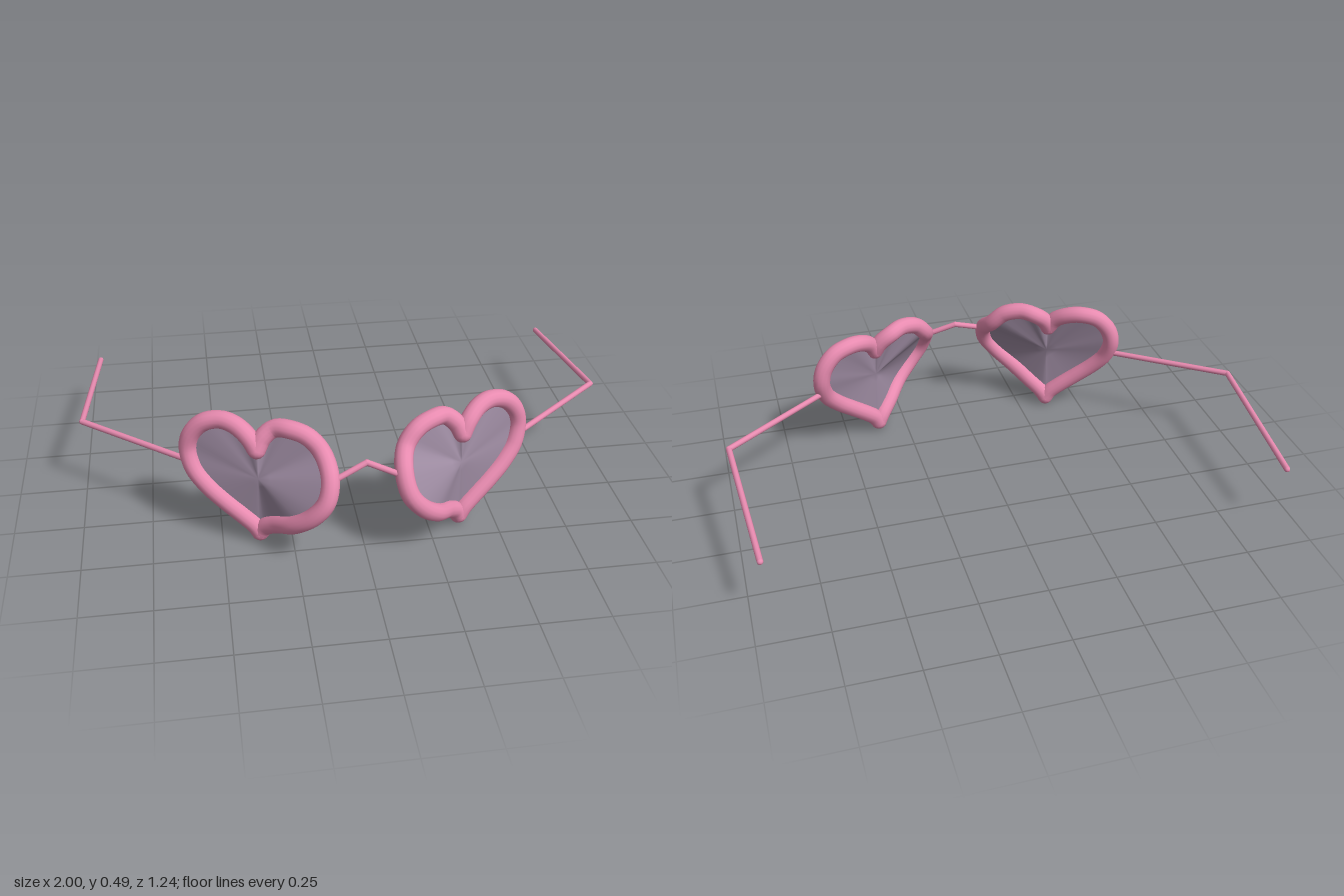
import * as THREE from 'three';

const pink = new THREE.MeshStandardMaterial({ color: 0xe88bb0 });
const tint = new THREE.MeshStandardMaterial({ color: 0x9c8aa0, side: THREE.DoubleSide });

const RIM = 0.033;
const WIRE = 0.011;
const NOTCH = [0.365, 0.385, 0.40];
const TIP = [0.365, 0.042, 0.41];

// Centre lines of the two heart lobes, from notch to tip
const innerLobe = [
  NOTCH, [0.342, 0.425, 0.388], [0.30, 0.457, 0.385], [0.25, 0.467, 0.415], [0.19, 0.45, 0.445],
  [0.145, 0.40, 0.475], [0.128, 0.34, 0.55], [0.145, 0.27, 0.585], [0.19, 0.21, 0.58],
  [0.25, 0.155, 0.54], [0.31, 0.105, 0.46], [0.348, 0.07, 0.42], TIP,
];
const outerLobe = [
  NOTCH, [0.388, 0.425, 0.382], [0.43, 0.457, 0.345], [0.48, 0.467, 0.315], [0.54, 0.45, 0.295],
  [0.585, 0.40, 0.283], [0.60, 0.34, 0.282], [0.585, 0.27, 0.305], [0.54, 0.21, 0.335],
  [0.48, 0.155, 0.365], [0.42, 0.105, 0.39], [0.382, 0.07, 0.405], TIP,
];

const toVectors = (points, side) => points.map(([x, y, z]) => new THREE.Vector3(x * side, y, z));

function addBall(group, name, centre, radius) {
  const ball = new THREE.Mesh(new THREE.SphereGeometry(radius, 14, 10), pink);
  ball.position.copy(centre);
  ball.name = name;
  group.add(ball);
}

// Straight wire pieces with rounded corners and ends
function wire(name, points) {
  const group = new THREE.Group();
  group.name = name;
  points.forEach((p, i) => {
    addBall(group, name + 'Joint', p, WIRE);
    if (i === 0) return;
    const line = new THREE.LineCurve3(points[i - 1], p);
    const rod = new THREE.Mesh(new THREE.TubeGeometry(line, 1, WIRE, 10), pink);
    rod.name = name + 'Rod';
    group.add(rod);
  });
  return group;
}

// Warped heart surface: rings shrinking from the rim to the centre
function lensGeometry(curves) {
  const N = 40, RINGS = 6;
  const rim = [...curves[0].getPoints(N), ...curves[1].getPoints(N).reverse().slice(1, -1)];
  const centre = new THREE.Vector3(rim[0].x, 0.27, 0.41);
  const count = rim.length, pos = [], index = [];
  for (let r = 0; r < RINGS; r++) {
    for (const p of rim) pos.push(...p.clone().lerp(centre, r / RINGS).toArray());
  }
  pos.push(...centre.toArray());
  for (let r = 0; r < RINGS; r++) {
    for (let i = 0; i < count; i++) {
      const j = (i + 1) % count, a = r * count + i, b = r * count + j;
      if (r === RINGS - 1) index.push(a, b, RINGS * count);
      else index.push(a, b, b + count, a, b + count, a + count);
    }
  }
  // Keep the outward side facing +z on both lenses
  if (rim[3].x > rim[0].x) index.reverse();
  const geo = new THREE.BufferGeometry();
  geo.setAttribute('position', new THREE.Float32BufferAttribute(pos, 3));
  geo.setIndex(index);
  geo.computeVertexNormals();
  return geo;
}

function eyepiece(side, prefix) {
  const group = new THREE.Group();
  group.name = prefix + 'Eyepiece';
  const curves = [innerLobe, outerLobe].map((p) => new THREE.CatmullRomCurve3(toVectors(p, side)));

  // Heart rim
  curves.forEach((curve, i) => {
    const rim = new THREE.Mesh(new THREE.TubeGeometry(curve, 56, RIM, 14), pink);
    rim.name = prefix + (i ? 'OuterRim' : 'InnerRim');
    group.add(rim);
  });
  const [notch, tip] = toVectors([NOTCH, TIP], side);
  addBall(group, prefix + 'RimNotch', notch, RIM);
  addBall(group, prefix + 'RimTip', tip, RIM);

  // Lens
  const lens = new THREE.Mesh(lensGeometry(curves), tint);
  lens.name = prefix + 'Lens';
  group.add(lens);

  // Temple arm
  group.add(wire(prefix + 'Temple', toVectors(
    [[0.60, 0.29, 0.285], [0.987, 0.30, -0.02], [0.945, 0.242, -0.612]], side)));
  return group;
}

export function createModel() {
  const model = new THREE.Group();
  model.name = 'heartGlasses';
  model.add(eyepiece(1, 'left'), eyepiece(-1, 'right'));

  // Nose bridge
  model.add(wire('bridge', toVectors([[-0.125, 0.335, 0.56], [0, 0.383, 0.53], [0.125, 0.335, 0.56]], 1)));
  return model;
}
